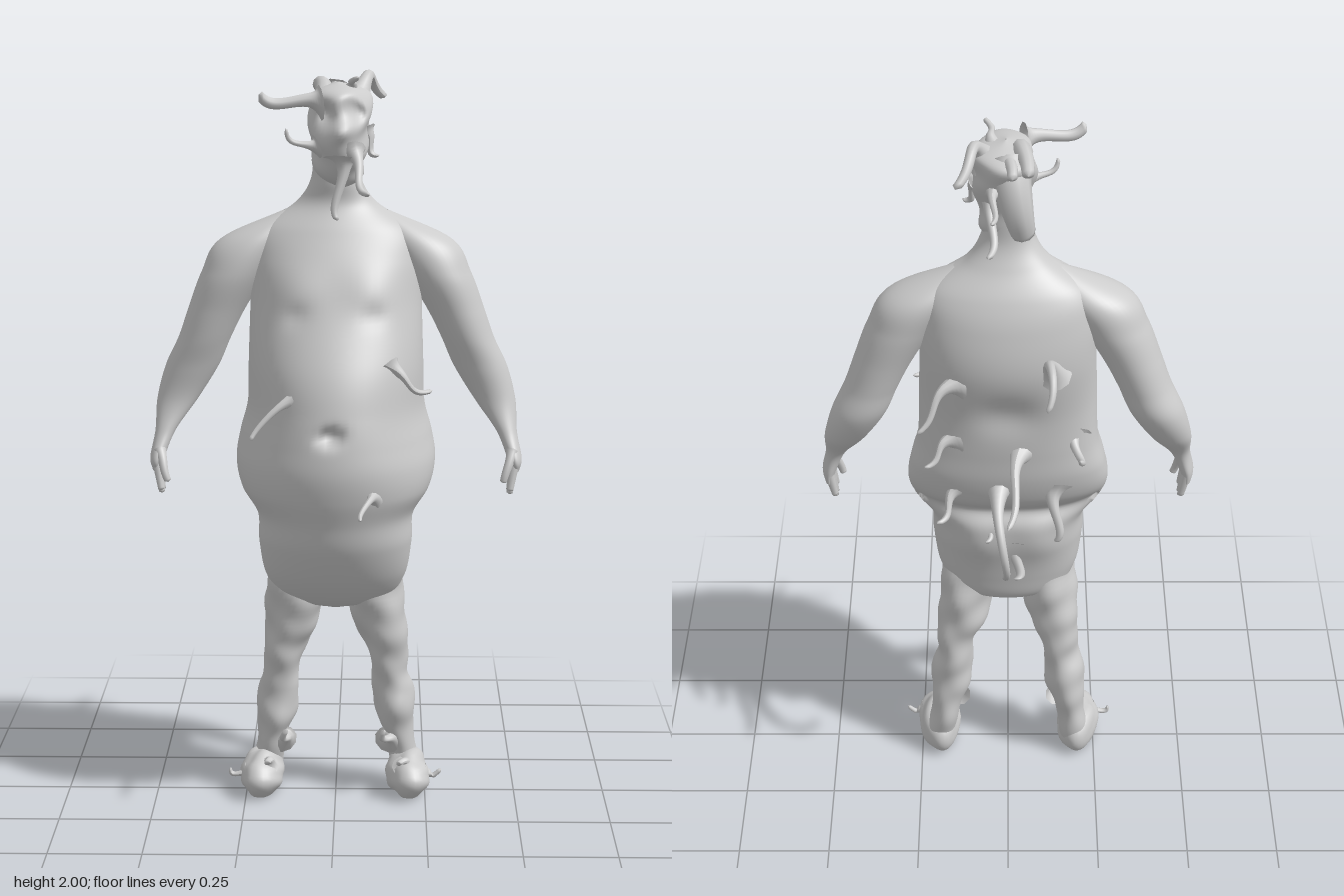
import * as THREE from 'three';

const material = new THREE.MeshStandardMaterial({ color: 0xcccccc, side: THREE.DoubleSide });

function addMesh(parent, name, geometry) {
  geometry.computeVertexNormals();
  const mesh = new THREE.Mesh(geometry, material);
  mesh.name = name;
  parent.add(mesh);
}

// Skin through horizontal rings, bottom to top. Row: [y, halfWidth, frontZ, backZ, x]
// widest(y) tells how far from back (0) to front (1) a ring is broadest
function loft(rows, { side = 1, seg = 40, square = 1, widest = () => 0.5, deform = () => {} } = {}) {
  const line = f => new THREE.CatmullRomCurve3(rows.map(r => new THREE.Vector3(...f(r))), false, 'catmullrom');
  const mid = line(([y, , , , x = 0]) => [x * side, y, 0]);
  const size = line(([, w, f, b]) => [w, f, b]);
  const n = (rows.length - 1) * 10, pos = [], idx = [], v = new THREE.Vector3();
  for (let i = 0; i <= n; i++) {
    const c = mid.getPoint(i / n), r = size.getPoint(i / n);
    c.z = r.z + (r.y - r.z) * widest(c.y);
    for (let j = 0; j < seg; j++) {
      const a = j / seg * Math.PI * 2, k = Math.cos(a);
      const depth = k > 0 ? k * (r.y - c.z) : -Math.pow(-k, square) * (c.z - r.z);
      v.set(c.x + Math.sin(a) * r.x, c.y, c.z + depth);
      deform(v, c);
      pos.push(v.x, v.y, v.z);
      if (i < n) {
        const p = i * seg + j, q = i * seg + (j + 1) % seg;
        idx.push(p, q, q + seg, p, q + seg, p + seg);
      }
    }
  }
  const g = new THREE.BufferGeometry();
  g.setAttribute('position', new THREE.Float32BufferAttribute(pos, 3));
  g.setIndex(idx);
  return g;
}

// Bent, wavy growth with a flared root; lift and push move its middle in y and z
function tendril(root, tip, radius, lift = 0, push = 0, taper = 0.5, flare = 2) {
  const a = new THREE.Vector3(...root), b = new THREE.Vector3(...tip);
  const bend = a.clone().lerp(b, 0.5).add(new THREE.Vector3(0, lift, push));
  const curve = new THREE.QuadraticBezierCurve3(a, bend, b);
  const n = 22, seg = 10, g = new THREE.TubeGeometry(curve, n, 1, seg);
  const p = g.attributes.position, v = new THREE.Vector3();
  for (let k = 0; k < p.count; k++) {
    const t = Math.floor(k / (seg + 1)) / n, c = curve.getPointAt(t);
    const r = t === 1 ? 0.0005 : radius * (1 - (1 - taper) * t + flare * (1 - t) ** 8);
    const sway = 0.3 * radius * flare * Math.sin(t * Math.PI * 2);
    v.fromBufferAttribute(p, k).sub(c).multiplyScalar(r).add(c);
    p.setXYZ(k, v.x + sway, v.y + sway, v.z);
  }
  return g;
}

// Soft falloff around a point, for dents and swellings
const near = (v, x, y, z, size) =>
  Math.exp(-((v.x - x) ** 2 + (v.y - y) ** 2 + (v.z - z) ** 2) / (size * size));

// Navel, breasts, buttocks, spine and the fold above the rump
function shapeTorso(v) {
  v.z -= 0.035 * near(v, -0.01, 1.07, 0.28, 0.024);
  for (const s of [-1, 1]) {
    v.z += 0.014 * near(v, s * 0.1, 1.43, 0.1, 0.07);
    v.z -= 0.01 * near(v, s * 0.1, 1.365, 0.13, 0.03);
    v.z -= 0.025 * near(v, s * 0.09, 0.8, -0.11, 0.08);
    v.z += 0.012 * near(v, s * 0.03, 1.25, -0.22, 0.06);
  }
  if (v.z < -0.05) v.z += 0.025 * Math.exp(-(((v.y - 0.89) / 0.03) ** 2));
}

// Eye sockets, nose and ragged cheeks
function shapeHead(v) {
  for (const x of [-0.03, 0.055]) v.z -= 0.035 * near(v, x, 1.9, 0.07, 0.03);
  v.z += 0.02 * near(v, 0.01, 1.85, 0.1, 0.025);
  v.x += 0.006 * Math.sin(v.y * 60 + v.z * 30);
}

// Irregular sagging lumps on a leg
function shapeLeg(v, c) {
  const k = 1 + 0.06 * Math.sin(v.y * 47 + v.x * 30) * Math.sin(v.z * 35 + v.y * 14)
    + 0.05 * Math.sin(v.x * 45 + v.z * 25 - v.y * 28);
  v.x = c.x + (v.x - c.x) * k;
  v.z = c.z + (v.z - c.z) * k;
}

// Foot: a lumpy egg with a flat sole and a lower, broader toe
function footGeometry(side) {
  const g = new THREE.SphereGeometry(1, 32, 24), p = g.attributes.position;
  for (let i = 0; i < p.count; i++) {
    const x = p.getX(i), y = p.getY(i), z = p.getZ(i);
    const lump = 1 + 0.06 * Math.sin(x * 5 + z * 4) + 0.03 * Math.sin(y * 9 - z * 6);
    p.setXYZ(i, side * (0.203 + 0.008 * z) + x * (0.06 + 0.006 * z) * lump,
      Math.max(0, 0.052 + y * (0.068 - 0.008 * z) * lump), 0.008 + z * 0.112);
  }
  return g;
}

export function createModel() {
  const model = new THREE.Group();
  model.name = 'figure';

  // Heavy torso: hanging belly, chest, sloping shoulders and neck
  addMesh(model, 'torso', loft([
    [0.54, 0.02, 0.03, -0.03],
    [0.57, 0.14, 0.1, -0.08],
    [0.64, 0.19, 0.17, -0.1],
    [0.74, 0.208, 0.23, -0.115],
    [0.82, 0.212, 0.255, -0.12],
    [0.89, 0.255, 0.278, -0.135],
    [0.96, 0.272, 0.29, -0.168],
    [1.03, 0.262, 0.285, -0.187],
    [1.11, 0.242, 0.27, -0.195],
    [1.22, 0.238, 0.235, -0.207],
    [1.38, 0.233, 0.15, -0.235],
    [1.5, 0.23, 0.095, -0.22],
    [1.58, 0.205, 0.05, -0.19],
    [1.65, 0.11, 0.01, -0.145],
    [1.71, 0.07, 0.015, -0.118],
    [1.78, 0.06, 0.02, -0.115],
  ], {
    seg: 72, square: 0.7, deform: shapeTorso,
    widest: y => 0.5 - 0.22 * Math.exp(-(((y - 1.05) / 0.2) ** 2)),
  }));

  // Head, narrow at the jaw and drawn out to the back at the crown
  addMesh(model, 'head', loft([
    [1.69, 0.01, 0, -0.05, 0.01],
    [1.73, 0.06, 0.05, -0.105, 0.01],
    [1.81, 0.073, 0.095, -0.12, 0.01],
    [1.89, 0.083, 0.09, -0.15, 0.012],
    [1.95, 0.07, 0.065, -0.165, 0.012],
    [1.975, 0.001, -0.04, -0.05, 0.01],
  ], { seg: 48, deform: shapeHead }));

  // Horns, chin barbels, crown prongs and the lobe down the nape
  const headGrowths = [
    [[-0.04, 1.925, 0.05], [-0.2, 1.95, 0.09], 0.016, -0.02, 0, 0.9],
    [[-0.05, 1.81, 0.05], [-0.13, 1.86, 0.08], 0.011, -0.04],
    [[0.015, 1.78, 0.06], [0.005, 1.62, 0.1], 0.016],
    [[0.04, 1.8, 0.06], [0.09, 1.7, 0.2], 0.014, -0.03],
    [[0.05, 1.92, -0.06], [0.13, 1.92, -0.21], 0.017, 0.13, 0, 0.7],
    [[0.03, 1.94, -0.03], [0.06, 1.99, 0.04], 0.013, 0.03],
    [[0.03, 1.87, -0.12], [0.04, 1.865, -0.29], 0.011],
    [[0.03, 1.82, -0.07], [0.05, 1.73, -0.22], 0.016],
    [[0.07, 1.84, -0.02], [0.115, 1.78, 0], 0.014],
    [[0, 1.94, -0.09], [-0.04, 1.75, -0.13], 0.056, 0, -0.06, 0.55, 0],
    [[-0.03, 1.93, -0.02], [-0.05, 1.95, -0.2], 0.026, 0.05, 0, 0.6, 0.3],
    [[0, 1.92, -0.08], [-0.01, 1.94, -0.2], 0.02, 0.05, 0, 0.6, 0.5],
  ];
  for (const g of headGrowths) addMesh(model, 'headGrowth', tendril(...g));

  for (const side of [1, -1]) {
    const s = side > 0 ? 'left' : 'right';
    const spike = (name, [x, y, z], [tx, ty, tz], ...rest) =>
      addMesh(model, s + name, tendril([side * x, y, z], [side * tx, ty, tz], ...rest));

    // Arm, from palm up to shoulder, full at elbow and upper arm
    addMesh(model, s + 'Arm', loft([
      [0.925, 0.012, 0.035, -0.04, 0.49],
      [0.96, 0.02, 0.045, -0.045, 0.488],
      [1.03, 0.028, 0.01, -0.055, 0.467],
      [1.11, 0.056, -0.012, -0.115, 0.436],
      [1.2, 0.073, -0.005, -0.155, 0.396],
      [1.28, 0.072, 0.01, -0.157, 0.36],
      [1.36, 0.078, 0.02, -0.16, 0.326],
      [1.46, 0.09, 0.03, -0.165, 0.277],
      [1.55, 0.092, 0.01, -0.155, 0.222],
      [1.63, 0.02, -0.05, -0.09, 0.12],
    ], { side }));
    for (let i = 0; i < 4; i++) {
      const z = 0.03 - i * 0.021;
      spike('Finger', [0.488, 0.95, z * 0.9], [0.475, 0.86 + 0.008 * (i - 1.3) ** 2, z * 1.1 + 0.01],
        0.013, 0, 0, 0.65, 0);
    }
    spike('Thumb', [0.48, 0.98, 0.02], [0.455, 0.9, 0.055], 0.014, 0, 0.02, 0.65, 0.3);

    // Leg with bulging calf and thigh
    addMesh(model, s + 'Leg', loft([
      [0.04, 0.045, 0.01, -0.09, 0.2],
      [0.15, 0.04, 0.03, -0.1, 0.18],
      [0.23, 0.055, 0.048, -0.1, 0.165],
      [0.3, 0.056, 0.045, -0.093, 0.16],
      [0.35, 0.05, 0.05, -0.09, 0.15],
      [0.41, 0.058, 0.062, -0.092, 0.145],
      [0.5, 0.072, 0.08, -0.088, 0.122],
      [0.66, 0.085, 0.1, -0.07, 0.1],
    ], { side, deform: shapeLeg }));

    // Foot with spurs
    addMesh(model, s + 'Foot', footGeometry(side));
    spike('FootSpur', [0.24, 0.06, 0.04], [0.295, 0.075, 0.04], 0.011, -0.02);
    spike('ToeSpur', [0.19, 0.09, 0.06], [0.18, 0.115, 0.11], 0.011, 0.02);
    spike('ShinSpike', [0.15, 0.15, 0.01], [0.135, 0.2, 0.075], 0.014, -0.03);
  }

  // Growths over belly, flanks, back and rump
  const bodyGrowths = [
    [[-0.11, 1.15, 0.2], [-0.22, 1.06, 0.26], 0.011, 0.04],
    [[0.14, 1.24, 0.15], [0.26, 1.17, 0.13], 0.012, -0.03, 0.04],
    [[0.1, 0.9, 0.24], [0.07, 0.88, 0.405], 0.01, 0.02],
    [[-0.12, 1.38, -0.2], [-0.1, 1.37, -0.37], 0.015, 0.14, -0.03],
    [[-0.04, 1.12, -0.17], [0, 1.03, -0.405], 0.015, 0.03],
    [[0.02, 1, -0.15], [0.01, 0.75, -0.23], 0.015, 0.02, -0.22],
    [[0.13, 1.34, -0.19], [0.235, 1.24, -0.27], 0.013, 0.05],
    [[0.14, 1.15, -0.16], [0.22, 1.1, -0.22], 0.013, 0.02],
    [[-0.18, 1.15, -0.13], [-0.19, 1.14, -0.25], 0.014, -0.04],
    [[0.13, 0.98, -0.14], [0.19, 0.92, -0.22], 0.014],
    [[-0.13, 0.98, -0.14], [-0.13, 0.85, -0.2], 0.017, 0, -0.04],
    [[0.04, 0.86, -0.09], [0.06, 0.81, -0.155], 0.012],
    [[-0.03, 0.76, -0.09], [-0.02, 0.68, -0.15], 0.02],
  ];
  for (const g of bodyGrowths) addMesh(model, 'bodyGrowth', tendril(...g));

  return model;
}
